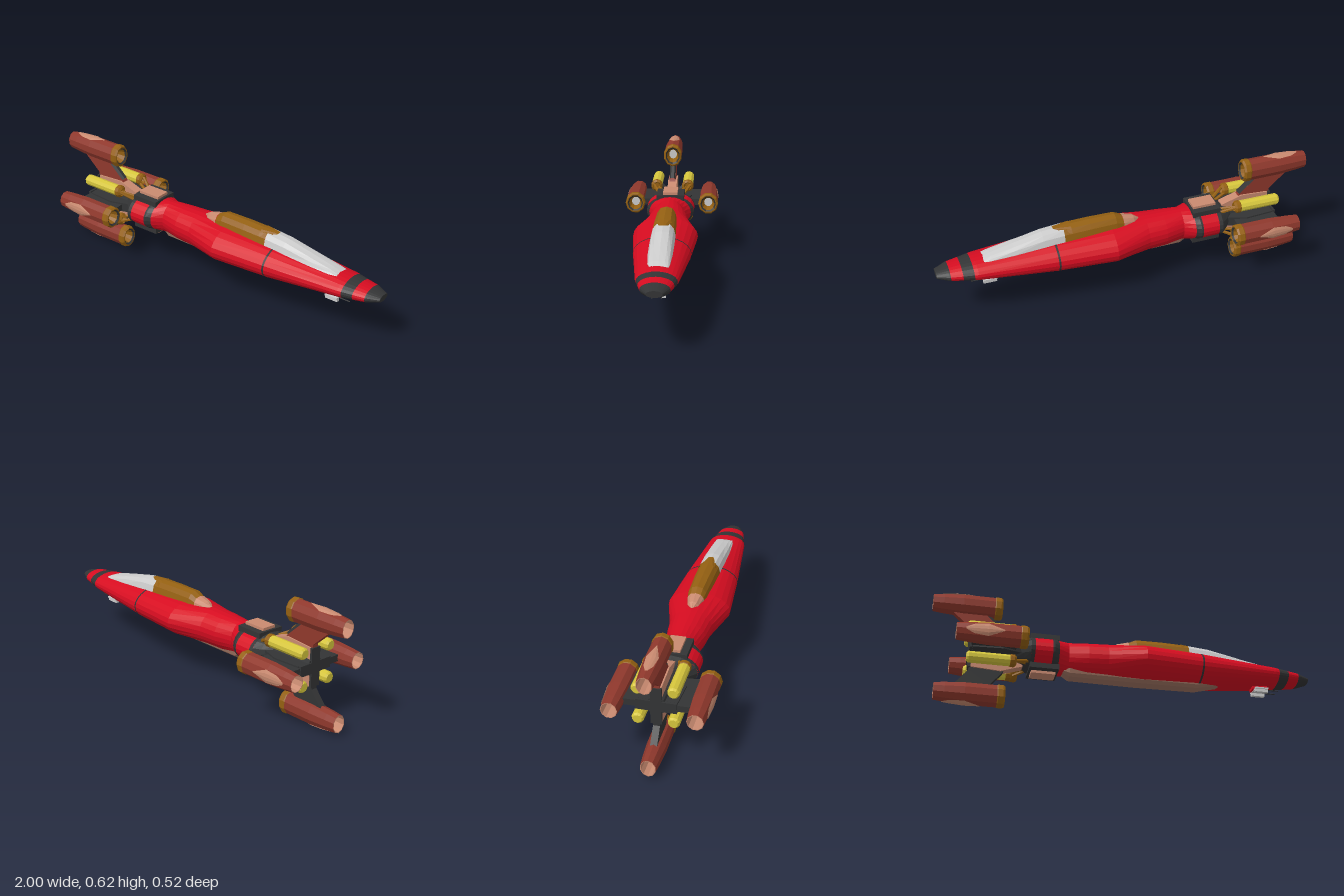
import * as THREE from 'three';

const RED = 0xd60c20, DARK = 0x333435, GOLD = 0x946012, RUST = 0x8f382c;
const PINK = 0xc98a70, YELLOW = 0xd6c63c, GREY = 0xcccccc, BELLY = 0xa07462;

function mesh(name, geometry, color) {
  const material = new THREE.MeshStandardMaterial({ color, flatShading: true, side: THREE.DoubleSide });
  const m = new THREE.Mesh(geometry, material);
  m.name = name;
  return m;
}

// Skin over cross-sections [x, cy, cz, hy, hz] along x; pow < 1 makes them boxier.
// A section may carry its own half-angle (6th value) to form a partial patch around +y.
function loft(sections, n = 16, pow = 1) {
  const pos = [], index = [];
  const bend = v => Math.sign(v) * Math.pow(Math.abs(v), pow);
  sections.forEach(([x, cy, cz, hy, hz, half = Math.PI]) => {
    for (let j = 0; j <= n; j++) {
      const t = half * (2 * j / n - 1);
      pos.push(x, cy + hy * bend(Math.cos(t)), cz + hz * bend(Math.sin(t)));
    }
  });
  for (let i = 0; i < sections.length - 1; i++) {
    for (let j = 0; j < n; j++) {
      const a = i * (n + 1) + j, c = a + n + 1;
      index.push(a, a + 1, c, a + 1, c + 1, c);
    }
  }
  const g = new THREE.BufferGeometry();
  g.setAttribute('position', new THREE.Float32BufferAttribute(pos, 3));
  g.setIndex(index);
  g.computeVertexNormals();
  return g;
}

// Flat plate in the x-y plane, centred on z = 0
function plate(points, depth) {
  const shape = new THREE.Shape(points.map(p => new THREE.Vector2(...p)));
  return new THREE.ExtrudeGeometry(shape, { depth, bevelEnabled: false }).translate(0, 0, -depth / 2);
}

function box(name, [w, h, d], [x, y, z], color) {
  const m = mesh(name, new THREE.BoxGeometry(w, h, d), color);
  m.position.set(x, y, z);
  return m;
}

function rod(name, a, b, r, color) {
  const curve = new THREE.LineCurve3(new THREE.Vector3(...a), new THREE.Vector3(...b));
  return mesh(name, new THREE.TubeGeometry(curve, 1, r, 6), color);
}

const CZ = 0.006, CY = 0.305;

// Hull profile: x, centre y, half height, half width
const HULL = [
  [-0.5, 0.305, 0.083, 0.13], [-0.38, 0.305, 0.085, 0.13], [-0.3, 0.303, 0.088, 0.08],
  [-0.2, 0.301, 0.093, 0.102], [-0.1, 0.302, 0.095, 0.112], [0.09, 0.302, 0.096, 0.166],
  [0.4, 0.3, 0.086, 0.142], [0.8, 0.303, 0.051, 0.101], [0.94, 0.304, 0.034, 0.069], [1, 0.305, 0.016, 0.038]
];

function hullAt(x, grow = 1) {
  const i = Math.max(1, HULL.findIndex(s => s[0] >= x));
  const a = HULL[i - 1], b = HULL[i], k = (x - a[0]) / (b[0] - a[0]);
  const [, cy, hy, hz] = a.map((v, n) => v + (b[n] - v) * k);
  return [x, cy, CZ, hy * grow, hz * grow];
}

function hullBand(name, x0, x1, color, grow = 1) {
  const xs = [x0, ...HULL.map(s => s[0]).filter(x => x > x0 && x < x1), x1];
  return mesh(name, loft(xs.map(x => hullAt(x, grow)), 24), color);
}

// Engine pod along x, front at x = 0, outward side facing +y
function engine(hy, hz) {
  const g = new THREE.Group();
  g.name = 'engine';
  const ring = (x, s) => [x, 0, 0, hy * s, hz * s];
  const skin = list => loft(list.map(([x, s]) => ring(x, s)), 10);
  g.add(
    mesh('engineShell', skin([[-0.355, 0.74], [-0.3, 0.84], [-0.2, 0.95], [-0.035, 0.95]]), RUST),
    mesh('intakeRing', skin([[-0.04, 0.95], [-0.035, 1], [-0.01, 1], [0, 0.88], [0, 0.78]]), GOLD),
    mesh('intakeLip', skin([[0, 0.78], [-0.008, 0.64]]), DARK),
    mesh('intakeThroat', skin([[-0.008, 0.64], [-0.05, 0.42]]), GOLD),
    mesh('intakeFace', skin([[-0.05, 0.42], [-0.05, 0]]), GREY),
    mesh('nozzleInside', skin([[-0.1, 0], [-0.1, 0.6], [-0.355, 0.68], [-0.355, 0.74]].reverse()), PINK)
  );
  // Raised pointed panel on the outward side
  const panel = [[-0.31, 0.86, 0.12], [-0.27, 0.91, 0.5], [-0.2, 0.99, 0.62], [-0.12, 0.985, 0.04]];
  g.add(mesh('enginePanel', loft(panel.map(([x, s, h]) => [...ring(x, s), h]), 4), PINK));
  return g;
}

function tank(y, z) {
  const g = new THREE.Group();
  g.name = 'fuelTank';
  const skin = list => loft(list.map(([x, r]) => [x, y, z, r, r]), 10);
  g.add(
    mesh('tankBody', skin([[-0.82, 0], [-0.82, 0.022], [-0.81, 0.03], [-0.6, 0.03]]), YELLOW),
    mesh('tankCollar', skin([[-0.603, 0.03], [-0.6, 0.033], [-0.58, 0.033], [-0.57, 0.022], [-0.59, 0.014], [-0.59, 0]]), GOLD)
  );
  const sy = Math.sign(y - CY), sz = Math.sign(z - CZ);
  g.add(
    rod('tankStrut', [-0.59, y + sy * 0.01, z + sz * 0.02], [-0.5, CY + sy * 0.055, CZ + sz * 0.06], 0.009, GOLD),
    rod('tankStrut', [-0.59, y - sy * 0.012, z - sz * 0.015], [-0.5, CY + sy * 0.06, CZ + sz * 0.035], 0.009, GOLD),
    rod('tankMount', [-0.7, y, z], [-0.7, CY + sy * 0.03, CZ + sz * 0.03], 0.012, DARK)
  );
  return g;
}

export function createModel() {
  const model = new THREE.Group();
  model.name = 'spacecraft';

  // Hull and its painted bands
  [['rearBand', -0.5, -0.48, DARK], ['rearHull', -0.48, -0.39, RED], ['neckBand', -0.39, -0.355, DARK],
    ['mainHull', -0.355, 0.82, RED], ['noseBand', 0.82, 0.875, DARK], ['noseHull', 0.875, 0.935, RED],
    ['noseTip', 0.935, 1, DARK]].forEach(b => model.add(hullBand(...b)));
  model.add(hullBand('seam', 0.388, 0.398, DARK, 1.008));
  const [tx, ty, tz, thy, thz] = hullAt(1);
  model.add(mesh('noseCap', loft([[tx, ty, tz, thy, thz], [tx, ty, tz, 0, 0]], 24), DARK));

  // Belly fairing
  model.add(mesh('bellyFairing', loft([
    [-0.35, 0.235, CZ, 0, 0.03], [-0.29, 0.235, CZ, 0.043, 0.052], [0.05, 0.235, CZ, 0.045, 0.056],
    [0.38, 0.235, CZ, 0.041, 0.052], [0.55, 0.25, CZ, 0.015, 0.03]], 12, 0.8), BELLY));

  // Cockpit: glazing, mid cover and tail fairing
  const canopy = list => loft(list.map(([x, top, hz]) => [x, 0.345, CZ - 0.003, top - 0.345, hz]), 14, 0.75);
  model.add(
    mesh('canopyGlass', canopy([[0.34, 0.443, 0.062], [0.45, 0.432, 0.062], [0.6, 0.398, 0.06], [0.72, 0.37, 0.054], [0.76, 0.356, 0.05], [0.76, 0.345, 0]]), GREY),
    mesh('canopyCover', canopy([[0.02, 0.43, 0.048], [0.06, 0.449, 0.055], [0.2, 0.449, 0.06], [0.34, 0.444, 0.062]]), GOLD),
    mesh('canopyTail', canopy([[-0.07, 0.398, 0.012], [-0.04, 0.418, 0.034], [0.02, 0.432, 0.05]]), PINK)
  );
  // Pointed front edge of the cover, overlapping the glass on both sides
  model.add(mesh('coverEdge', loft([[0.3, 0.345, 0.003, 0.103, 0.064, 0.9], [0.39, 0.345, 0.003, 0.098, 0.064, 0.12]], 6, 0.75), GOLD));

  // Nose gun under the chin
  model.add(box('gunMount', [0.08, 0.03, 0.05], [0.73, 0.242, CZ], RED));
  model.add(box('gunPlate', [0.07, 0.008, 0.09], [0.735, 0.228, CZ], GREY));
  for (const s of [-1, 1]) {
    model.add(box('gunBody', [0.07, 0.018, 0.018], [0.735, 0.217, CZ + s * 0.03], GREY));
    model.add(rod('gunBarrel', [0.76, 0.227, CZ + s * 0.022], [0.83, 0.227, CZ + s * 0.022], 0.003, DARK));
  }

  // Rear collar and engine core
  model.add(mesh('rearCollar', loft([[-0.57, CY, CZ, 0, 0], [-0.57, CY, CZ, 0.055, 0.06], [-0.53, CY, CZ, 0.07, 0.1], [-0.5, CY, CZ, 0.083, 0.13]], 16), DARK));
  model.add(mesh('engineCore', loft([[-0.8, CY, CZ, 0, 0], [-0.8, CY, CZ, 0.05, 0.05], [-0.55, CY, CZ, 0.06, 0.06]], 8), DARK));
  for (const s of [-1, 1]) {
    model.add(box('saddle', [0.15, 0.03, 0.15], [-0.425, CY + s * 0.08, CZ], DARK));
    model.add(box('saddlePanel', [0.125, 0.03, 0.078], [-0.425, CY + s * 0.094, CZ], PINK));
  }

  // Four fins and engines around the core: x of front, distance, half height, half width, turn about x
  [[-0.643, 0.249, 0.063, 0.052, 0], [-0.53, 0.205, 0.056, 0.059, 1],
    [-0.612, 0.24, 0.063, 0.052, 2], [-0.53, 0.205, 0.056, 0.059, 3]].forEach(([x, d, hy, hz, k]) => {
    const arm = new THREE.Group();
    arm.name = 'engineArm';
    arm.position.set(0, CY, CZ);
    arm.rotation.x = k * Math.PI / 2;
    const pod = engine(hy, hz);
    pod.position.set(x, d, 0);
    const side = k % 2 === 1, tip = d - hy * 0.8;
    const outline = side
      ? [[-0.8, 0.03], [-0.58, 0.03], [-0.57, tip], [-0.8, tip]]
      : [[-0.8, 0.03], [-0.58, 0.03], [-0.63, 0.115], [x - 0.08, tip], [x - 0.25, tip], [-0.8, 0.115]];
    arm.add(pod, mesh('fin', plate(outline, 0.034), k === 0 ? RUST : DARK));
    // Fin root fairing
    arm.add(mesh('finRoot', plate([[-0.79, 0.03], [-0.53, 0.03], [-0.53, 0.075], [-0.64, 0.11], [-0.79, 0.1]], 0.05), side ? DARK : PINK));
    // Dark leading edge
    if (k === 0) arm.add(rod('finEdge', [-0.632, 0.115, 0], [x - 0.08, tip, 0], 0.017, DARK));
    model.add(arm);
  });
  // Dark plate closing the tail
  for (const [h, d] of [[0.2, 0.055], [0.055, 0.2]]) model.add(box('tailPlate', [0.012, h, d], [-0.8, CY, CZ], DARK));

  // Tanks between the fins
  for (const y of [0.397, 0.228]) for (const z of [-0.082, 0.092]) model.add(tank(y, z));

  return model;
}
